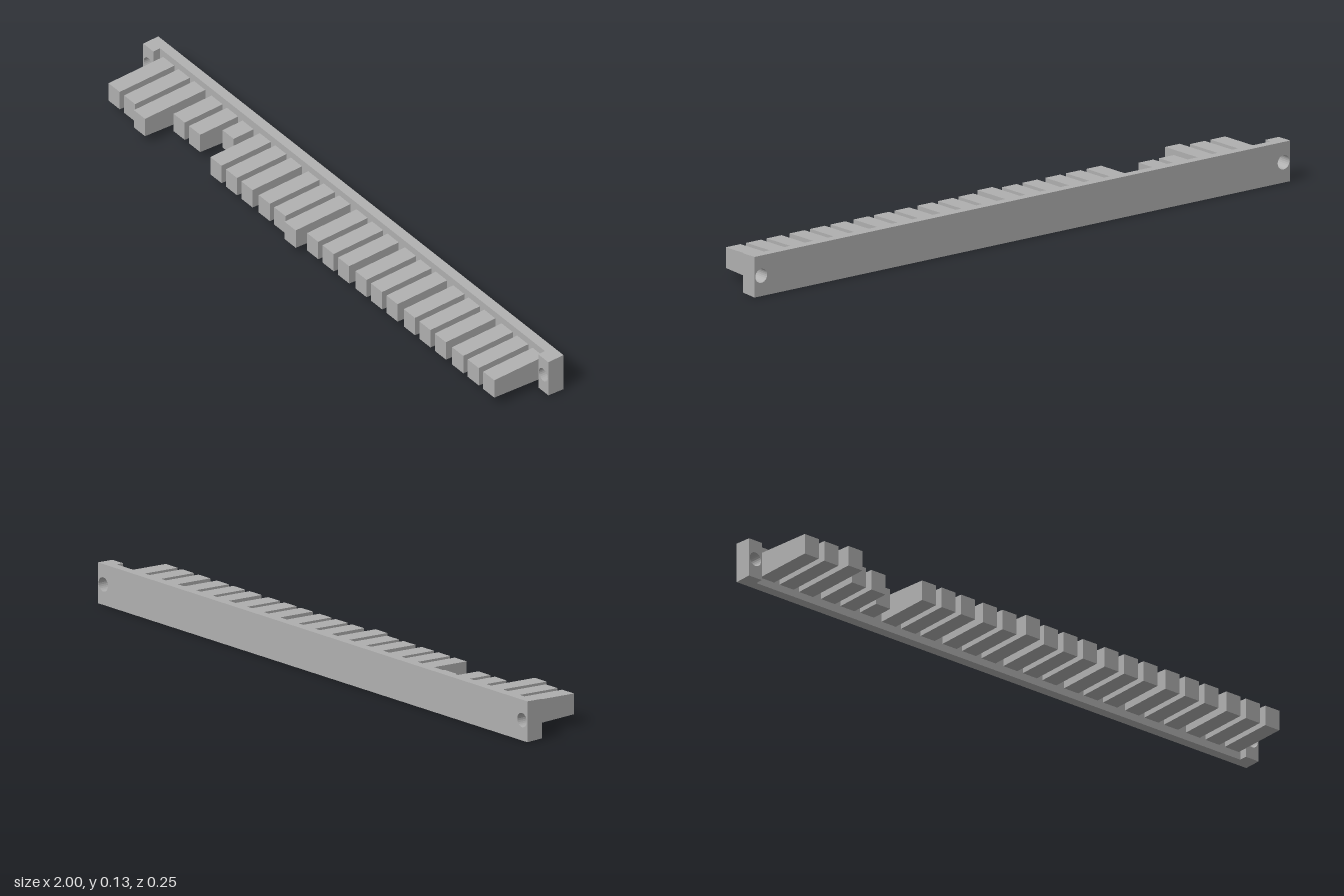
import * as THREE from 'three';

const MID = 0.063; // height of the centre line
const DRAFT = 0.035; // slope of the moulded top and bottom faces

const metal = new THREE.MeshStandardMaterial({ color: 0xb0b0b0 });
metal.name = 'plain grey';

// Narrow the height towards +z; zRef is the depth at which the height is unchanged
function taper(geometry, zRef) {
  const p = geometry.attributes.position;
  for (let i = 0; i < p.count; i++) {
    const y = p.getY(i);
    if (Math.abs(y) > 0.028) p.setY(i, y - Math.sign(y) * DRAFT * (p.getZ(i) - zRef));
  }
  geometry.computeVertexNormals();
  return geometry;
}

function box(x0, x1, halfHeight, z0, z1, zRef) {
  const g = new THREE.BoxGeometry(x1 - x0, halfHeight * 2, z1 - z0);
  g.translate((x0 + x1) / 2, 0, (z0 + z1) / 2);
  return taper(g, zRef);
}

function add(group, name, geometry) {
  const mesh = new THREE.Mesh(geometry, metal);
  mesh.name = name;
  mesh.position.y = MID;
  group.add(mesh);
}

export function createModel() {
  const group = new THREE.Group();
  group.name = 'toothedBar';
  const back = -0.127;

  // Long backing bar
  add(group, 'backBar', box(-0.95, 0.95, 0.063, back, -0.096, back));

  // Thicker end blocks, each with a screw hole
  for (const side of [-1, 1]) {
    const s = new THREE.Shape();
    s.moveTo(-0.025, -0.063);
    s.lineTo(0.025, -0.063);
    s.lineTo(0.025, 0.063);
    s.lineTo(-0.025, 0.063);
    s.closePath();
    const hole = new THREE.Path();
    hole.absarc(0, 0, 0.022, 0, Math.PI * 2, true);
    s.holes.push(hole);
    const g = new THREE.ExtrudeGeometry(s, { depth: 0.056, bevelEnabled: false, curveSegments: 12 });
    g.translate(side * 0.975, 0, back);
    add(group, side > 0 ? 'leftEndBlock' : 'rightEndBlock', taper(g, back));
  }

  // Teeth in eight groups of three, with a few of odd length
  const ends = { 0: 0.107, 1: 0.107, 2: 0.128, 3: 0.045, 4: 0.045, 5: -0.022, 11: 0.107 };
  for (let i = 0; i < 24; i++) {
    const x = -0.831 + Math.floor(i / 3) * 0.2387 + ((i % 3) - 1) * 0.0765;
    const end = ends[i] ?? 0.088;
    add(group, 'tooth' + (i + 1), box(x - 0.0275, x + 0.0275, 0.032, -0.1, end, end));
  }
  return group;
}
